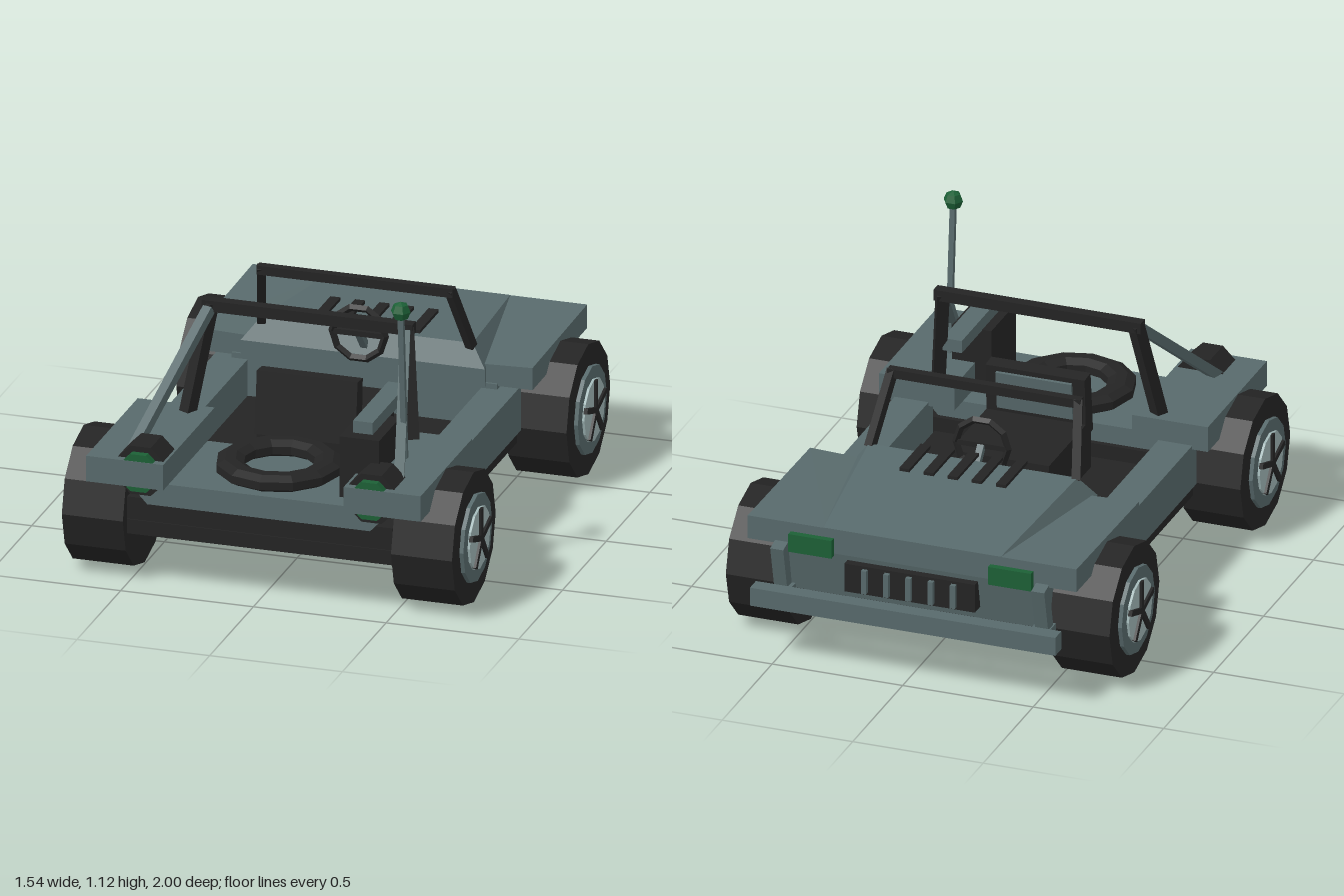
import * as THREE from 'three';
import { ConvexGeometry } from 'three/addons/geometries/ConvexGeometry.js';

export function createModel() {
  const root = new THREE.Group();
  root.name = 'openBuggy';
  const mat = (name, color) => {
    const m = new THREE.MeshStandardMaterial({ color, flatShading: true });
    m.name = name;
    return m;
  };
  const slate = mat('slatePaint', 0x586a6c);
  const dark = mat('darkRubber', 0x242424);
  const pale = mat('paleMetal', 0xa0b6b6);
  const green = mat('greenLight', 0x1c6036);

  const add = (name, geo, material, parent = root) => {
    const m = new THREE.Mesh(geo, material);
    m.name = name;
    parent.add(m);
    return m;
  };
  // Box given by its extents on each axis
  const box = (name, x, y, z, material, parent) => {
    const g = new THREE.BoxGeometry(x[1] - x[0], y[1] - y[0], z[1] - z[0]);
    g.translate((x[0] + x[1]) / 2, (y[0] + y[1]) / 2, (z[0] + z[1]) / 2);
    return add(name, g, material, parent);
  };
  // Square bar between two points
  const bar = (name, a, b, w, material, d = w) => {
    const p = new THREE.Vector3(...a), q = new THREE.Vector3(...b);
    const m = add(name, new THREE.BoxGeometry(w, d, p.distanceTo(q)), material);
    m.position.copy(p).add(q).multiplyScalar(0.5);
    m.lookAt(q);
    return m;
  };
  // Convex block, symmetric in x, from points of its +x half
  const symBlock = (name, pts, material) => add(name, new ConvexGeometry(
    pts.flatMap(([x, y, z]) => [new THREE.Vector3(x, y, z), new THREE.Vector3(-x, y, z)])), material);
  const span = (s, a, b) => (s > 0 ? [a, b] : [-b, -a]);

  // Chassis, tub and rear deck
  box('chassis', [-0.5, 0.5], [0.195, 0.25], [-0.86, 0.93], dark);
  box('rearChassis', [-0.5, 0.5], [0.2, 0.335], [0.47, 0.925], dark);
  box('tubFloor', [-0.44, 0.44], [0.25, 0.28], [-0.27, 0.48], dark);
  symBlock('rearDeck', [[0.42, 0.32, 0.94], [0.5, 0.405, 0.94], [0.42, 0.32, 0.49], [0.5, 0.405, 0.49]], slate);

  // Nose and hood
  symBlock('nose', [[0.5, 0.25, -0.27], [0.5, 0.44, -0.27], [0.5, 0.44, -0.905], [0.5, 0.25, -0.865]], slate);
  symBlock('hood', [[0.46, 0.43, -0.25], [0.46, 0.5, -0.25], [0.4, 0.578, -0.295],
    [0.34, 0.526, -0.905], [0.34, 0.43, -0.905]], slate);
  for (let i = -2; i <= 2; i++) {
    const x = i * 0.0925;
    box('hoodVent', [x - 0.019, x + 0.019], [0.594, 0.606], [-0.5, -0.285], dark);
  }
  box('grille', [-0.25, 0.25], [0.3, 0.41], [-0.93, -0.87], dark);
  for (let i = -2; i <= 2; i++) {
    const x = i * 0.085;
    box('grilleBar', [x - 0.01, x + 0.01], [0.31, 0.4], [-0.948, -0.92], slate);
  }
  box('frontBumper', [-0.585, 0.585], [0.217, 0.288], [-1, -0.94], slate);

  for (const s of [1, -1]) {
    // Side sills and fenders
    box('sideSill', span(s, 0.44, 0.57), [0.25, 0.42], [-0.33, 0.455], slate);
    box('sillBase', span(s, 0.44, 0.555), [0.2, 0.25], [-0.33, 0.455], dark);
    box('rearFender', span(s, 0.34, 0.63), [0.405, 0.503], [0.41, 1], slate);
    const f = [];
    for (const x of [0.33, 0.63]) {
      f.push([x, 0.43, -0.28], [x, 0.435, -0.905], [x, x > 0.5 ? 0.515 : 0.505, -0.28], [x, 0.525, -0.905]);
    }
    add('frontFender', new ConvexGeometry(f.map(([x, y, z]) => new THREE.Vector3(s * x, y, z))), slate);

    // Headlights and bumper mounts
    box('headlight', span(s, 0.3, 0.465), [0.42, 0.49], [-0.93, -0.9], green);
    bar('bumperStrut', [s * 0.5, 0.23, -0.88], [s * 0.5, 0.44, -0.93], 0.05, slate);
    box('bumperMount', span(s, 0.46, 0.53), [0.22, 0.27], [-0.95, -0.85], slate);

    // Windshield frame, roll bar and rear braces
    bar('windshieldPost', [s * 0.395, 0.565, -0.295], [s * 0.355, 0.825, -0.17], 0.032, dark);
    bar('rollBarPost', [s * 0.435, 0.41, 0.488], [s * 0.37, 0.885, 0.368], 0.045, dark);
    bar('rearBrace', [s * 0.5, 0.49, 0.85], [s * 0.37, 0.87, 0.385], 0.036, slate);

    // Rear thrusters
    const body = add('thruster', new THREE.CylinderGeometry(0.1, 0.1, 0.13, 8), dark);
    const glow = add('thrusterGlow', new THREE.CylinderGeometry(0.077, 0.077, 0.036, 8), green);
    [[body, 0.905], [glow, 0.98]].forEach(([m, z]) => {
      m.geometry.rotateY(Math.PI / 8).rotateX(Math.PI / 2);
      m.position.set(s * 0.435, 0.458, z);
    });

    // Wheels with five-spoke hubs
    for (const z of [0.71, -0.6]) {
      const wheel = new THREE.Group();
      wheel.name = 'wheel';
      wheel.position.set(0, 0.25, z);
      const disc = (name, r, x0, x1, n, material) => {
        const g = new THREE.CylinderGeometry(r, r, x1 - x0, n);
        g.rotateZ(Math.PI / 2).rotateX(Math.PI / 2);
        add(name, g, material, wheel).position.x = s * (x0 + x1) / 2;
      };
      disc('tyre', 0.25, 0.505, 0.735, 12, dark);
      disc('rim', 0.166, 0.72, 0.75, 12, slate);
      disc('hubDisc', 0.118, 0.74, 0.759, 12, pale);
      for (let i = 0; i < 5; i++) {
        const spoke = new THREE.BoxGeometry(0.015, 0.115, 0.022);
        spoke.translate(s * 0.761, 0.0575, 0).rotateX(i * Math.PI * 0.4);
        add('spoke', spoke, dark, wheel);
      }
      root.add(wheel);
    }
  }
  box('windshieldTop', [-0.37, 0.37], [0.798, 0.832], [-0.19, -0.157], dark);
  box('rollBarTop', [-0.397, 0.397], [0.86, 0.902], [0.346, 0.388], dark);

  // Seat
  box('seatCushion', [-0.19, 0.19], [0.27, 0.47], [-0.03, 0.39], dark);
  symBlock('seatBack', [[0.19, 0.42, 0.41], [0.19, 0.42, 0.34], [0.19, 0.655, 0.385], [0.19, 0.65, 0.325]], dark);
  bar('seatPanel', [0, 0.49, 0.328], [0, 0.635, 0.312], 0.29, slate, 0.012);

  // Steering wheel
  const ring = add('steeringWheel', new THREE.TorusGeometry(0.1, 0.014, 4, 10), dark);
  ring.position.set(0, 0.6, -0.205);
  box('steeringSpoke', [-0.1, 0.1], [0.59, 0.61], [-0.213, -0.197], dark);
  bar('steeringColumn', [0, 0.6, -0.21], [0, 0.52, -0.28], 0.025, slate);

  // Spare tyre lying on the deck
  const outline = (r, path) => {
    for (let i = 0; i <= 12; i++) {
      const a = (i * Math.PI) / 6;
      path[i ? 'lineTo' : 'moveTo'](r * Math.cos(a), r * Math.sin(a));
    }
    return path;
  };
  const tyreShape = outline(0.2, new THREE.Shape());
  tyreShape.holes.push(outline(0.16, new THREE.Path()));
  const spare = new THREE.ExtrudeGeometry(tyreShape, {
    depth: 0.03, bevelThickness: 0.017, bevelSize: 0.03, bevelOffset: 0, bevelSegments: 1 });
  spare.rotateX(-Math.PI / 2);
  add('spareTyre', spare, dark).position.set(0, 0.423, 0.7);

  // Equipment box with a barrel on top
  box('equipmentBox', [0.278, 0.428], [0.405, 0.638], [0.615, 0.86], dark);
  box('equipmentBarrel', [0.313, 0.387], [0.636, 0.684], [0.41, 0.81], slate);

  // Antenna
  bar('antennaRod', [0.46, 0.5, 0.663], [0.46, 1.08, 0.71], 0.02, slate);
  const tip = add('antennaTip', new THREE.SphereGeometry(0.037, 6, 4), green);
  tip.position.set(0.46, 1.085, 0.71);

  return root;
}
